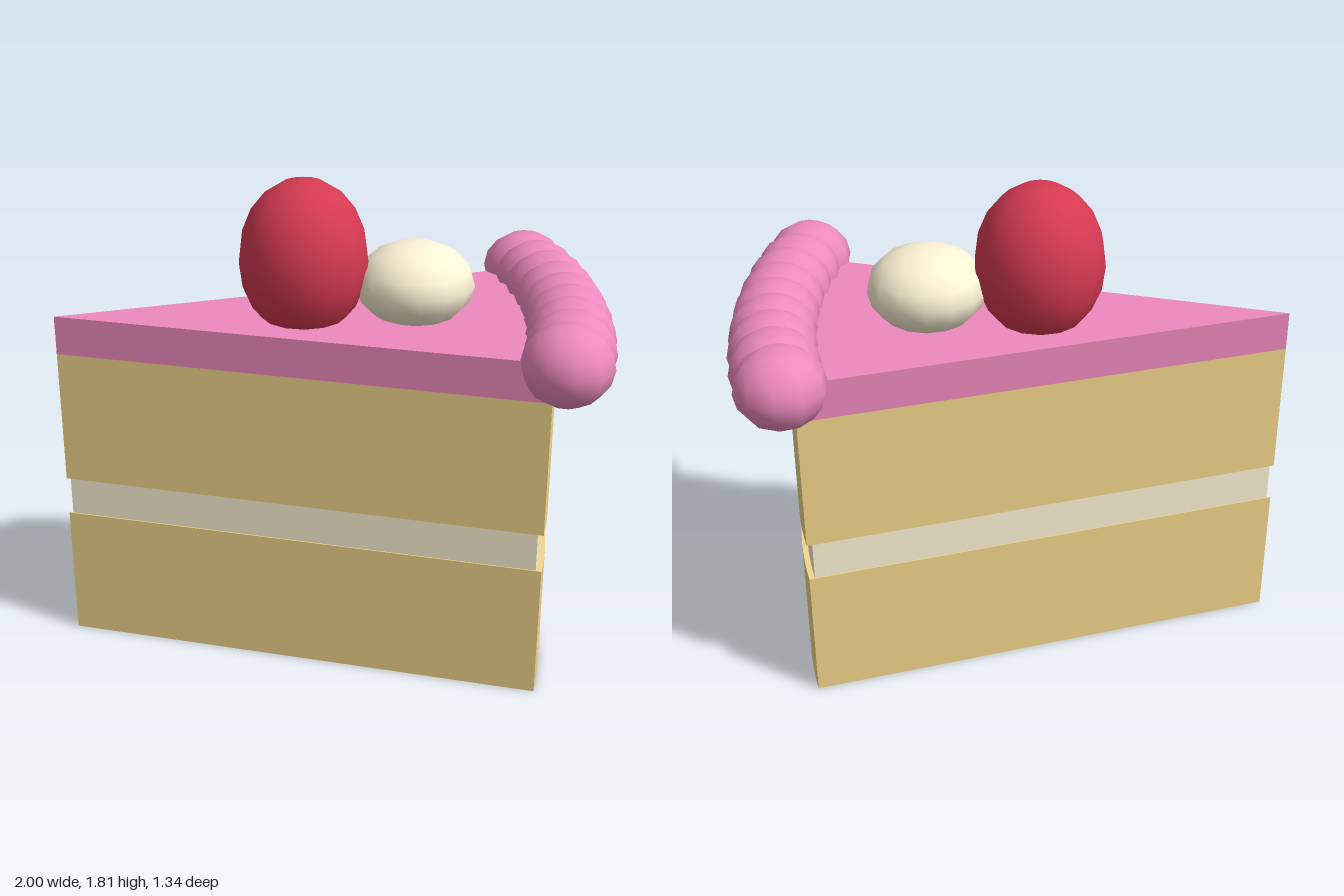
import * as THREE from 'three';

const HALF_ANGLE = 0.279; // half of the slice angle

const mat = (color) => new THREE.MeshStandardMaterial({ color });
const sponge = mat(0xf3d68b);
const cream = mat(0xfff4d6);
const icing = mat(0xee8abf);
const berry = mat(0xd63a52);

// Wedge with its tip at tipX and a curved outer face, from y0 to y1
function wedge(name, material, tipX, radius, y0, y1) {
  const shape = new THREE.Shape();
  shape.moveTo(tipX, 0);
  shape.lineTo(tipX + radius * Math.cos(HALF_ANGLE), -radius * Math.sin(HALF_ANGLE));
  shape.absarc(tipX, 0, radius, -HALF_ANGLE, HALF_ANGLE, false);
  shape.lineTo(tipX, 0);
  const geo = new THREE.ExtrudeGeometry(shape, {
    depth: y1 - y0, bevelEnabled: false, curveSegments: 12,
  });
  geo.rotateX(-Math.PI / 2);
  const mesh = new THREE.Mesh(geo, material);
  mesh.name = name;
  mesh.position.y = y0;
  return mesh;
}

// Squashed or stretched ball
function ball(name, material, radius, halfHeight, segments, rings, x, y, z) {
  const geo = new THREE.SphereGeometry(radius, segments, rings);
  geo.rotateY(Math.PI / 2);
  geo.scale(1, halfHeight / radius, 1);
  const mesh = new THREE.Mesh(geo, material);
  mesh.name = name;
  mesh.position.set(x, y, z);
  return mesh;
}

export function createModel() {
  const cake = new THREE.Group();
  cake.name = 'cakeSlice';

  // Layers, bottom to top
  cake.add(
    wedge('lowerSponge', sponge, -1, 1.805, 0, 0.507),
    wedge('creamFilling', cream, -0.985, 1.77, 0.507, 0.653),
    wedge('upperSponge', sponge, -1, 1.805, 0.653, 1.16),
    wedge('icingLayer', icing, -1, 1.805, 1.16, 1.305),
  );

  // Toppings
  cake.add(
    ball('berry', berry, 0.235, 0.29, 14, 10, -0.097, 1.52, 0),
    ball('creamDollop', cream, 0.217, 0.152, 14, 8, 0.303, 1.423, 0),
  );

  // Piped border along the curved rim
  const border = new THREE.Group();
  border.name = 'pipedBorder';
  const count = 9;
  for (let i = 0; i < count; i++) {
    const a = HALF_ANGLE * (2 * i / (count - 1) - 1);
    border.add(ball('borderBead', icing, 0.16, 0.144, 10, 8,
      -1 + 1.848 * Math.cos(a), 1.305, 1.848 * Math.sin(a)));
  }
  cake.add(border);
  return cake;
}
